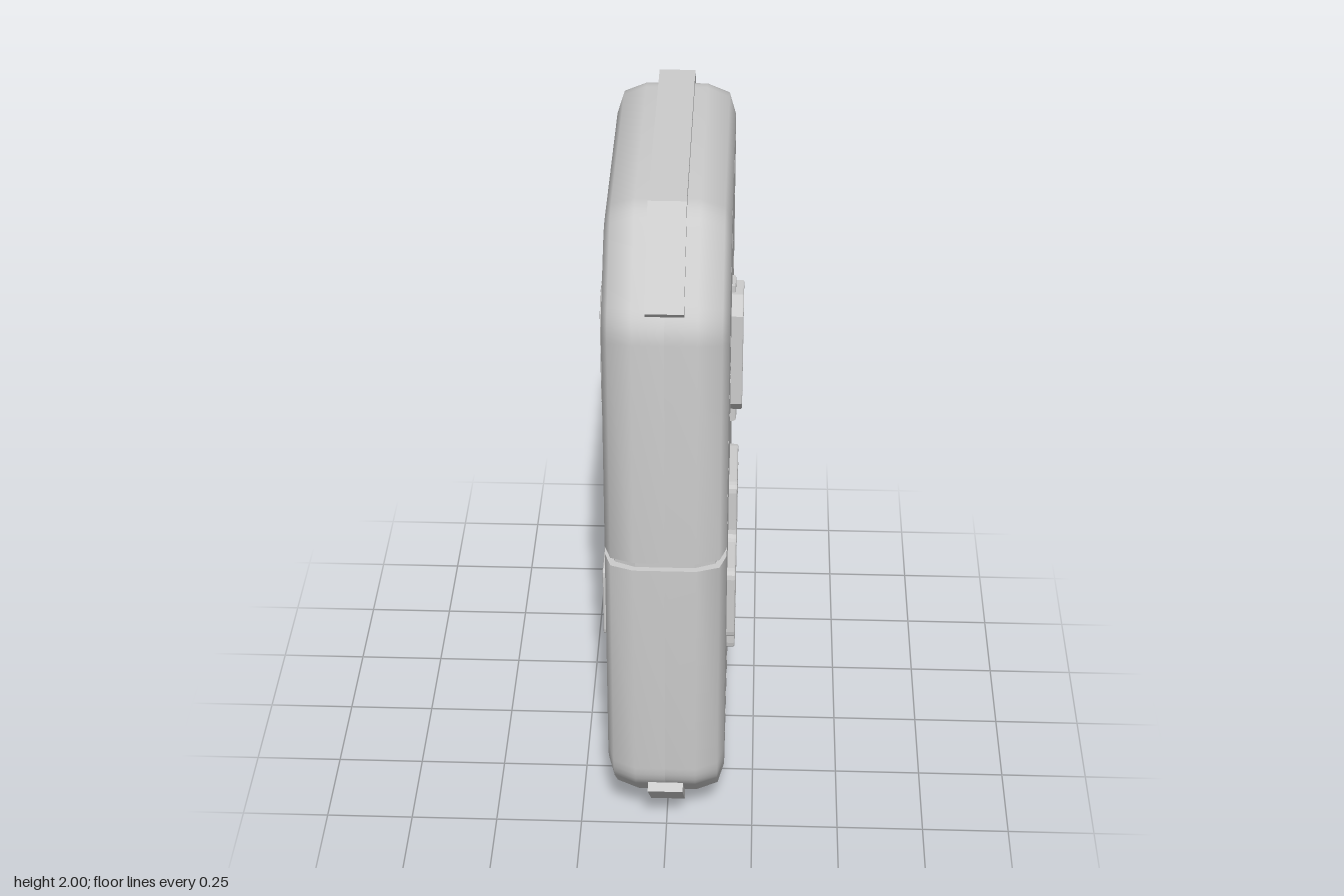
import * as THREE from 'three';
import { toCreasedNormals } from 'three/addons/utils/BufferGeometryUtils.js';

const FACE = 0.165; // half thickness of the case
const material = new THREE.MeshStandardMaterial({ color: 0xcccccc });
const V = (x, y) => new THREE.Vector2(x, y);

function mesh(name, geometry) {
  const m = new THREE.Mesh(geometry, material);
  m.name = name;
  return m;
}

// Replaces the corners of a closed outline by small curves
function roundCorners(pts, cut, steps = 4, keep = () => false) {
  return pts.flatMap((p, i) => {
    if (keep(i)) return [p];
    const n = pts.length;
    const toward = (q) => p.clone().add(q.clone().sub(p).setLength(cut));
    const a = toward(pts[(i + n - 1) % n]), b = toward(pts[(i + 1) % n]);
    return new THREE.QuadraticBezierCurve(a, p, b).getPoints(steps);
  });
}

// Outline of one half of the case, inset by d along its outer edges only
function halfOutline(d, seam, upper) {
  const w = 0.605 - d, k = 0.414 * d;
  const right = [V(0.38 - k, 0.025 + d), V(w, 0.25 + k), V(w, seam[0].y), ...seam];
  const left = right.map((p) => V(-p.x, p.y)).reverse();
  const all = [...right, ...left];
  const n = all.length;
  const pts = roundCorners(all, 0.05, 4, (i) => i > 1 && i < n - 2);
  return upper ? pts.map((p) => V(p.x, 2 - p.y)).reverse() : pts;
}

// One shell quarter: rounded wall, flat face with recesses
function shell(seam, upper, pockets) {
  const levels = [[0, 0], [0.085, 0], [0.147, 0.022], [FACE, 0.075], [FACE, 0.085]];
  const wall = [], flat = [];
  const tri = (out, ...ps) => ps.forEach((p) => out.push(p.x, p.y, p.z));
  const quad = (out, a, b, c, d) => { tri(out, a, b, c); tri(out, a, c, d); };
  const lift = (pts, z) => pts.map((p) => new THREE.Vector3(p.x, p.y, z));
  const rings = levels.map(([z, d]) => lift(halfOutline(d, seam, upper), z));
  for (let k = 0; k + 1 < rings.length; k++) {
    const a = rings[k], b = rings[k + 1];
    a.forEach((p, i) => {
      const j = (i + 1) % a.length;
      quad(wall, p, a[j], b[j], b[i]);
    });
  }
  const contour = halfOutline(0.085, seam, upper);
  const holes = pockets.map((p) => p.rim.slice().reverse());
  const points = lift([contour, ...holes].flat(), FACE);
  THREE.ShapeUtils.triangulateShape(contour, holes).forEach((f) => tri(flat, ...f.map((i) => points[i])));
  for (const { rim, floor } of pockets) {
    const top = lift(rim, FACE);
    top.forEach((p, i) => {
      const j = (i + 1) % top.length;
      quad(flat, p, top[j], floor[j], floor[i]);
    });
    for (let i = 1; i + 1 < floor.length; i++) tri(flat, floor[0], floor[i], floor[i + 1]);
  }
  const geo = (arr) => new THREE.BufferGeometry().setAttribute('position', new THREE.Float32BufferAttribute(arr, 3));
  const face = geo(flat);
  face.computeVertexNormals();
  const group = new THREE.Group();
  group.name = upper ? 'upperShell' : 'lowerShell';
  group.add(mesh('shellWall', toCreasedNormals(geo(wall), 1)), mesh('shellFace', face));
  return group;
}

// Rectangular recess with sloped walls
function slot(x, y, hw, hh, inset, depth) {
  const rect = (w, h) => [V(x - w, y - h), V(x + w, y - h), V(x + w, y + h), V(x - w, y + h)];
  return {
    rim: rect(hw, hh),
    floor: rect(hw - inset, hh - inset).map((p) => new THREE.Vector3(p.x, p.y, FACE - depth)),
  };
}

// Triangular recess, deepest along its upper edge
function arrow(x) {
  const rim = [V(x, 1.38), V(x + 0.05, 1.525), V(x - 0.05, 1.525)];
  const floor = rim.map((p, i) => new THREE.Vector3(x + (p.x - x) * 0.6, i ? 1.515 : 1.385, FACE - (i ? 0.018 : 0.001)));
  return { rim, floor };
}

// Raised plate or frame standing on the face
function raised(name, outline, inner, from, to, bevel) {
  const shape = new THREE.Shape(outline);
  if (inner) shape.holes.push(new THREE.Path(inner));
  const g = new THREE.ExtrudeGeometry(shape, {
    depth: to - from - bevel, bevelEnabled: bevel > 0, bevelSize: bevel, bevelOffset: -bevel,
    bevelThickness: bevel, bevelSegments: 2,
  });
  g.translate(0, 0, from);
  return mesh(name, g);
}

function crossOutline(o) {
  const arm = 0.295 - o, half = 0.118 - o;
  const quarter = [V(arm, half), V(half, half), V(half, arm)];
  const pts = [];
  for (let i = 0; i < 4; i++) {
    quarter.forEach((p) => pts.push(p.clone().rotateAround(V(0, 0), (i * Math.PI) / 2)));
  }
  return roundCorners(pts, 0.025, 3).map((p) => V(p.x, p.y + 0.647));
}

function latchOutline(o) {
  const w = 0.085 - o, h = 0.187 - o, c = 0.045 - o * 0.586, y = 1.342;
  return [V(w, y - h + c), V(w, y + h - c), V(w - c, y + h), V(c - w, y + h),
    V(-w, y + h - c), V(-w, y - h + c), V(c - w, y - h), V(w - c, y - h)];
}

const rectOutline = (w, y0, y1) => [V(-w, y0), V(w, y0), V(w, y1), V(-w, y1)];

// Everything on one broad side
function createSide() {
  const side = new THREE.Group();
  const slots = [-0.23, 0.23].flatMap((x) => [slot(x, 1.797, 0.036, 0.087, 0.012, 0.03), arrow(x)]);
  side.add(
    shell([V(0.51, 0.995), V(0.345, 1.335)], false, [slot(0, 0.195, 0.287, 0.021, 0.01, 0.02)]),
    shell([V(0.515, 0.98), V(0.355, 0.64)], true, slots),
    raised('crossFrame', crossOutline(0), crossOutline(0.022), 0.155, 0.189, 0.005),
    raised('latchFrame', latchOutline(0), latchOutline(0.02), 0.14, 0.198, 0.004),
    raised('latchPanel', latchOutline(0.01), null, 0.14, 0.178, 0),
    raised('latchLowerTab', rectOutline(0.037, 1.112, 1.2), null, 0.14, 0.182, 0.008),
    raised('latchUpperTab', rectOutline(0.03, 1.5, 1.55), null, 0.14, 0.176, 0.005),
  );
  return side;
}

// Inner body seen at the bottom of the seam
function createCore() {
  const q = [V(0.15, 0.52), V(0.135, 0.565), V(0.08, 0.588)];
  const half = [...q, ...q.map((p) => V(-p.x, p.y)).reverse()];
  const g = new THREE.ExtrudeGeometry(
    new THREE.Shape([...half, ...half.map((p) => V(-p.x, -p.y))]), { depth: 0.475, bevelEnabled: false });
  g.rotateX(-Math.PI / 2).translate(0, 0.9, 0);
  return mesh('seamCore', g);
}

// Bumper strip following the chamfered end of the case
function createStrip(name, top) {
  const right = [V(0.575, 1.765), V(0.6, 1.79), V(0.39, 2)];
  const innerRight = V(0.36, 1.95);
  let pts = [innerRight, ...right, ...right.map((p) => V(-p.x, p.y)).reverse(), V(-innerRight.x, innerRight.y)];
  if (!top) pts = pts.map((p) => V(p.x, 2 - p.y));
  const g = new THREE.ExtrudeGeometry(new THREE.Shape(pts), { depth: 0.1, bevelEnabled: false });
  g.translate(0, 0, -0.05).rotateY(Math.PI / 2);
  return mesh(name, g);
}

export function createModel() {
  const model = new THREE.Group();
  model.name = 'medicalCase';
  for (const s of [1, -1]) {
    const side = createSide();
    side.name = s > 0 ? 'leftSide' : 'rightSide';
    side.rotation.y = (s * Math.PI) / 2;
    model.add(side);
  }
  model.add(createCore(), createStrip('topStrip', true), createStrip('bottomStrip', false));
  return model;
}
